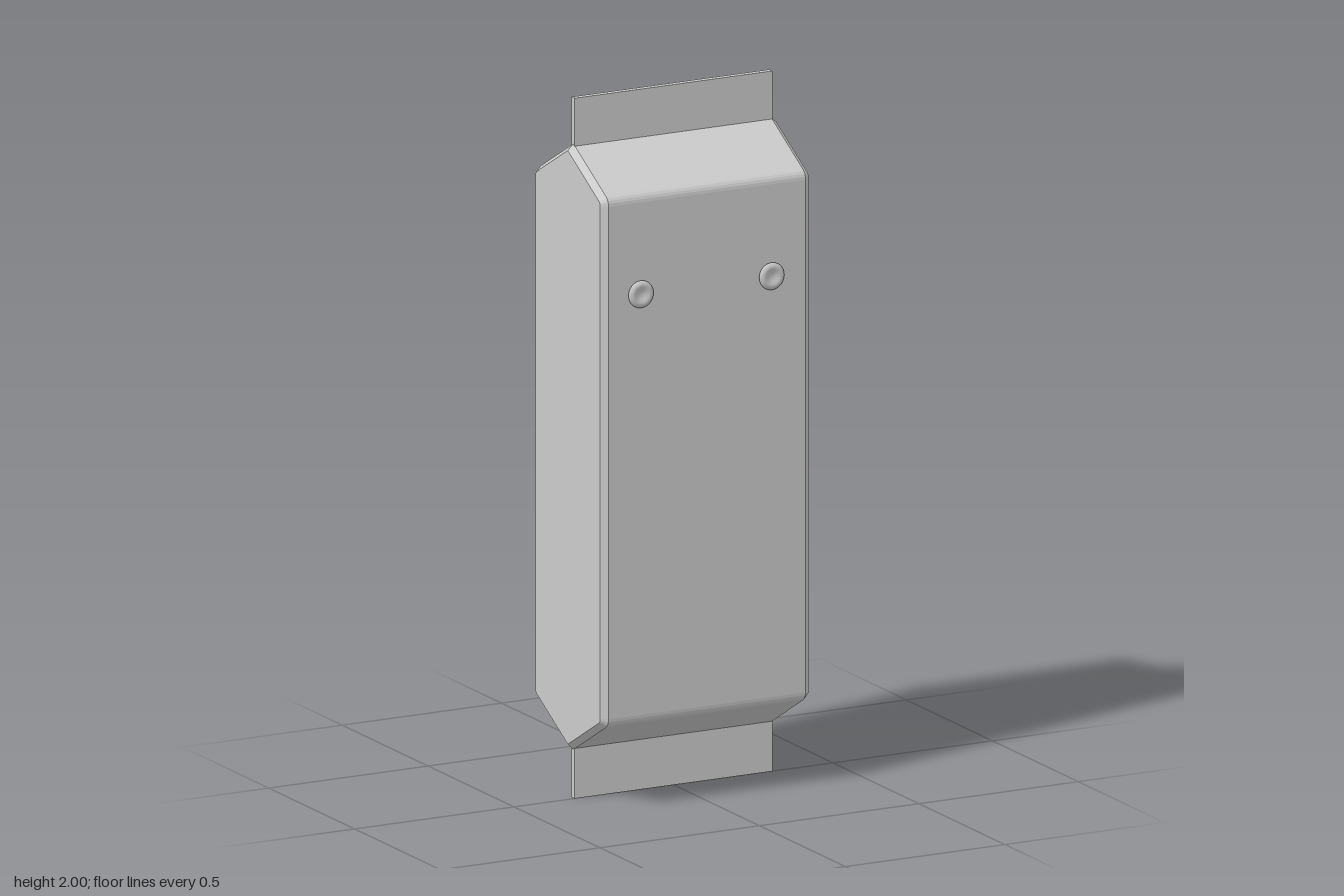
import * as THREE from 'three';

const material = new THREE.MeshStandardMaterial({ color: 0xcccccc });
const MID_Z = -0.0085; // centre plane of the pouch

function addMesh(parent, name, geometry, x = 0, y = 0, z = 0) {
  const mesh = new THREE.Mesh(geometry, material);
  mesh.name = name;
  mesh.position.set(x, y, z);
  parent.add(mesh);
  return mesh;
}

// Hexagonal side outline with softly rounded shoulders, centred on the origin
function sideOutline() {
  const w = 0.2035, apex = 0.865, corner = 0.75;
  const s = new THREE.Shape();
  s.moveTo(0, -apex);
  s.lineTo(w - 0.016, -corner - 0.009);
  s.quadraticCurveTo(w, -corner, w, -corner + 0.018);
  s.lineTo(w, corner - 0.018);
  s.quadraticCurveTo(w, corner, w - 0.016, corner + 0.009);
  s.lineTo(0, apex);
  s.lineTo(-w + 0.016, corner + 0.009);
  s.quadraticCurveTo(-w, corner, -w, corner - 0.018);
  s.lineTo(-w, -corner + 0.018);
  s.quadraticCurveTo(-w, -corner, -w + 0.016, -corner - 0.009);
  s.closePath();
  return s;
}

export function createModel() {
  const group = new THREE.Group();
  group.name = 'pouch';

  // Body: outline swept across the width, chamfered at both sides
  const body = new THREE.ExtrudeGeometry(sideOutline(), {
    depth: 0.618, curveSegments: 4,
    bevelEnabled: true, bevelSegments: 1,
    bevelThickness: 0.018, bevelSize: 0.015, bevelOffset: -0.015,
  });
  body.translate(0, 0, -0.309);
  body.rotateY(Math.PI / 2);
  addMesh(group, 'body', body, 0, 1.003, MID_Z);

  // Thin sealed flaps above and below
  const flap = new THREE.BoxGeometry(0.62, 0.16, 0.018);
  addMesh(group, 'topFlap', flap, 0, 1.92, MID_Z);
  addMesh(group, 'bottomFlap', flap, 0, 0.08, MID_Z);

  // Two round buttons with a shallow dimple, facing the front
  const profile = new THREE.SplineCurve([
    [0.027, 0], [0.036, 0.003], [0.039, 0.008], [0.035, 0.013],
    [0.027, 0.016], [0.018, 0.014], [0.009, 0.011], [0, 0.01],
  ].map(([r, h]) => new THREE.Vector2(r, h))).getPoints(20);
  profile[profile.length - 1].x = 0;
  const button = new THREE.LatheGeometry(profile, 32);
  button.rotateX(Math.PI / 2);
  addMesh(group, 'rightButton', button, -0.211, 1.475, 0.195);
  addMesh(group, 'leftButton', button, 0.199, 1.475, 0.195);

  return group;
}
